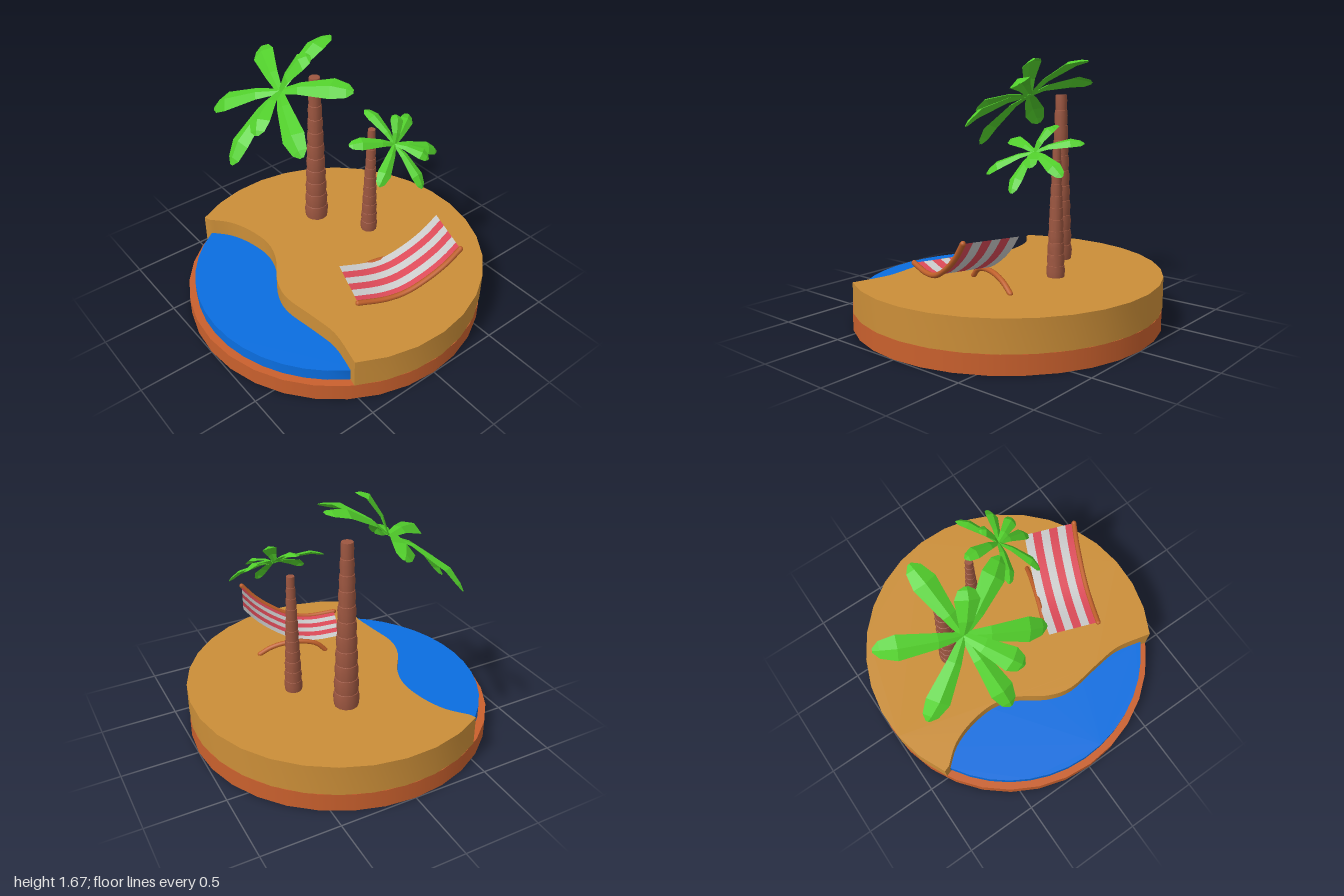
import * as THREE from 'three';
import { toCreasedNormals } from 'three/addons/utils/BufferGeometryUtils.js';

const mat = (color, extra = {}) => {
  const m = new THREE.MeshStandardMaterial({ color });
  return Object.assign(m, extra);
};
const SAND = mat(0xcb8e38), BASE = mat(0xc9602d), WATER = mat(0x0a6ee0);
const BARK = mat(0x9c5640), WOOD = mat(0xc0602a);
const LEAF = mat(0x52d02c, { side: THREE.DoubleSide, flatShading: true });
const RED = mat(0xdc4a58, { side: THREE.DoubleSide }), WHITE = mat(0xc4c4c4, { side: THREE.DoubleSide });

function add(parent, name, geometry, material) {
  const mesh = new THREE.Mesh(geometry, material);
  mesh.name = name;
  parent.add(mesh);
  return mesh;
}

// Indexed grid of points: rows of equal length become a surface
function loft(rows) {
  const n = rows[0].length, index = [];
  for (let i = 0; i < rows.length - 1; i++)
    for (let j = 0; j < n - 1; j++) {
      const a = i * n + j, b = a + n;
      index.push(a, a + 1, b, a + 1, b + 1, b);
    }
  const g = new THREE.BufferGeometry().setFromPoints(rows.flat());
  g.setIndex(index);
  g.computeVertexNormals();
  return g;
}

// Flat plan outline raised between two heights (outline y is -z)
function slab(points, y0, y1) {
  const g = new THREE.ExtrudeGeometry(new THREE.Shape(points), { depth: y1 - y0, bevelEnabled: false });
  g.rotateX(-Math.PI / 2).translate(0, y0, 0);
  return toCreasedNormals(g, 0.6);
}

function arc(radius, from, to, steps) {
  return Array.from({ length: steps + 1 }, (_, i) => {
    const a = from + (to - from) * i / steps;
    return new THREE.Vector2(radius * Math.cos(a), radius * Math.sin(a));
  });
}

function island(group) {
  add(group, 'base', new THREE.CylinderGeometry(1, 1, 0.12, 32).translate(0, 0.06, 0), BASE);

  const shore = new THREE.SplineCurve([
    [-0.82, 0.49], [-0.7, 0.39], [-0.54, 0.33], [-0.35, 0.31], [-0.18, 0.36], [0, 0.475],
    [0.17, 0.52], [0.4, 0.49], [0.6, 0.47], [0.8, 0.51],
  ].map(([x, z]) => new THREE.Vector2(x, -z))).getPoints(36);

  const back = arc(1, -0.55, Math.PI + 0.53, 21);
  add(group, 'sand', slab([...back, ...shore], 0.12, 0.32), SAND);

  const front = arc(0.95, -0.57, -Math.PI + 0.54, 14);
  add(group, 'water', slab([...shore, ...front], 0.12, 0.2), WATER);
}

// Ringed, tapering trunk
function trunk(parent, height, r0, r1, rings) {
  const profile = [new THREE.Vector2(0, 0)];
  for (let i = 0; i < rings; i++) {
    const r = r0 + (r1 - r0) * i / (rings - 1), y = height * i / rings, h = height / rings;
    profile.push(new THREE.Vector2(r * 0.97, y), new THREE.Vector2(r * 1.04, y + h * 0.6),
      new THREE.Vector2(r * 0.96, y + h * 0.98));
  }
  profile.push(new THREE.Vector2(0, height));
  return add(parent, 'trunk', toCreasedNormals(new THREE.LatheGeometry(profile, 12), 0.7), BARK);
}

// Leaning crown of folded, arched leaves
function crown(parent) {
  const g = new THREE.Group();
  g.name = 'crown';
  const n = new THREE.Vector3(0, 0.82, 0.57);
  const tips = [[-0.05, 0.23, -0.44], [0.13, 0.24, -0.15], [0.42, 0.09, -0.25], [0.46, -0.19, 0.17],
    [0.2, -0.11, 0.31], [0.04, -0.36, 0.41], [-0.42, -0.23, 0.24], [-0.47, 0.07, -0.19]];
  const stations = [[0, 0.02, 0], [0.3, 0.045, 0.045], [0.75, 0.075, 0.06], [0.93, 0.05, 0.025], [1, 0.012, 0]];
  for (const tip of tips) {
    const end = new THREE.Vector3(...tip);
    const side = new THREE.Vector3().crossVectors(end, n).normalize();
    const rows = stations.map(([t, w, lift]) => {
      const mid = end.clone().multiplyScalar(t).addScaledVector(n, lift);
      return [-1, 0, 1].map(s => mid.clone().addScaledVector(side, s * w)
        .addScaledVector(n, s ? -w * 0.4 : 0));
    });
    add(g, 'leaf', loft(rows), LEAF);
  }
  parent.add(g);
  return g;
}

function palms(group) {
  const large = new THREE.Group(), small = new THREE.Group();
  large.name = 'largePalm';
  small.name = 'smallPalm';
  trunk(large, 1.1, 0.08, 0.038, 11).position.set(-0.385, 0.34, -0.14);
  crown(large).position.set(-0.39, 1.43, 0.13);
  trunk(small, 0.81, 0.057, 0.026, 11).position.set(-0.055, 0.32, -0.35);
  const top = crown(small);
  top.position.set(0.17, 1.13, -0.35);
  top.rotation.y = Math.PI / 2;
  top.scale.setScalar(0.6);
  group.add(large, small);
}

function deckChair(group) {
  const chair = new THREE.Group();
  chair.name = 'deckChair';
  const curve = (x, pts) => new THREE.CatmullRomCurve3(pts.map(([z, y]) => new THREE.Vector3(x, y, z)));
  const pole = (name, path, r) => {
    add(chair, name, new THREE.TubeGeometry(path, 20, r, 8), WOOD);
    // Rounded ends
    for (const t of [0, 1])
      add(chair, name + 'End', new THREE.SphereGeometry(r, 8, 6).translate(...path.getPoint(t).toArray()), WOOD);
  };
  const rail = [[0.33, 0.43], [0.15, 0.408], [0.02, 0.425], [-0.12, 0.495], [-0.245, 0.59], [-0.33, 0.685]];
  pole('sideRail', curve(0.175, rail), 0.017);
  pole('archedLeg', curve(-0.18, [[0.22, 0.325], [0.16, 0.38], [0.06, 0.405], [-0.06, 0.4], [-0.16, 0.37], [-0.235, 0.325]]), 0.017);

  // Striped fabric following the rail
  const line = curve(0, rail).getPoints(14);
  const x0 = -0.18, w = 0.35 / 6;
  for (let i = 0; i < 6; i++) {
    const rows = line.map(p => [x0 + i * w, x0 + (i + 1) * w].map(x => new THREE.Vector3(x, p.y, p.z)));
    add(chair, 'fabricStripe', loft(rows), i % 2 ? RED : WHITE);
  }
  chair.position.set(0.52, 0, -0.1);
  chair.rotation.y = -0.345;
  group.add(chair);
}

export function createModel() {
  const group = new THREE.Group();
  group.name = 'beachIsland';
  island(group);
  palms(group);
  deckChair(group);
  return group;
}
